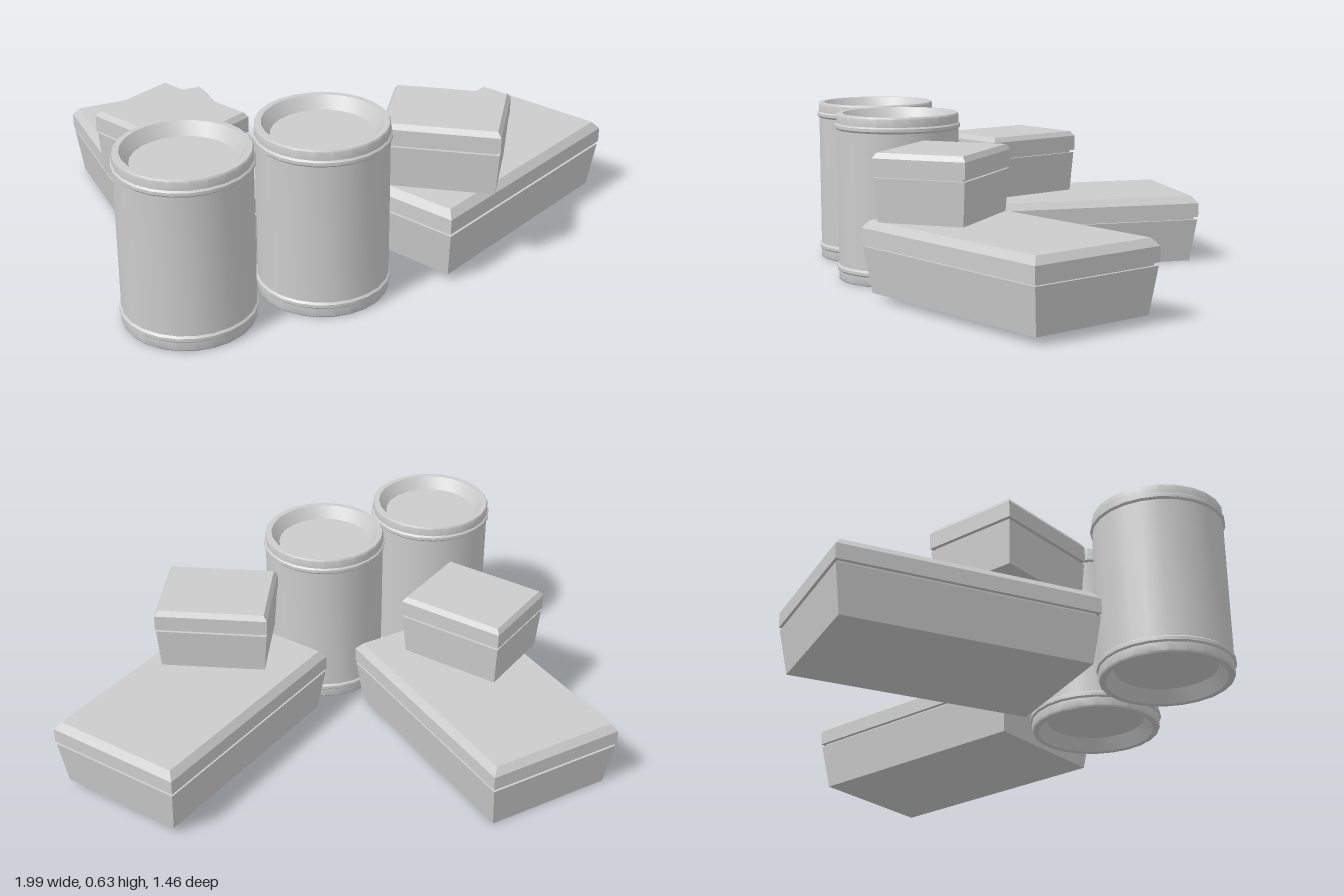
import * as THREE from 'three';
import { toCreasedNormals } from 'three/addons/utils/BufferGeometryUtils.js';

const material = new THREE.MeshStandardMaterial({ color: 0xcccccc });

// Stack of rectangular sections [y, inset], capped at both ends, faceted
function loftBox(width, length, sections) {
  const corners = [[1, 1], [1, -1], [-1, -1], [-1, 1]];
  const rings = sections.map(([y, inset]) =>
    corners.map(([sx, sz]) => [sx * (width / 2 - inset), y, sz * (length / 2 - inset)]));
  const pos = [];
  const quad = (a, b, c, d) => pos.push(...a, ...b, ...c, ...a, ...c, ...d);
  for (let i = 0; i < rings.length - 1; i++) {
    for (let k = 0; k < 4; k++) {
      const n = (k + 1) % 4;
      quad(rings[i][k], rings[i][n], rings[i + 1][n], rings[i + 1][k]);
    }
  }
  const bottom = rings[0], top = rings[rings.length - 1];
  quad(bottom[3], bottom[2], bottom[1], bottom[0]);
  quad(top[0], top[1], top[2], top[3]);
  const geometry = new THREE.BufferGeometry();
  geometry.setAttribute('position', new THREE.Float32BufferAttribute(pos, 3));
  geometry.computeVertexNormals();
  return geometry;
}

function addMesh(parent, name, geometry) {
  const mesh = new THREE.Mesh(geometry, material);
  mesh.name = name;
  parent.add(mesh);
}

// Tapered crate body, narrow seam and bevelled lid
function makeCrate(name, s) {
  const crate = new THREE.Group();
  crate.name = name;
  const { width, length, bodyTop, lidBottom, lidEdge, height, taper, bevel } = s;
  addMesh(crate, 'crateBody', loftBox(width, length, [[0, taper], [bodyTop, 0.003]]));
  addMesh(crate, 'crateSeam', loftBox(width, length, [[bodyTop - 0.01, 0.014], [lidBottom + 0.01, 0.014]]));
  addMesh(crate, 'crateLid', loftBox(width, length, [[lidBottom, 0], [lidEdge, 0], [height, bevel]]));
  return crate;
}

// Barrel with recessed ends and a raised hoop near each end
function makeBarrel(name) {
  const H = 0.635;
  const half = [
    [0, 0.045], [0.178, 0.045], [0.208, 0], [0.228, 0], [0.232, 0.006], [0.232, 0.036],
    [0.238, 0.042], [0.238, 0.053], [0.231, 0.06],
  ];
  const profile = [...half, ...half.map(([r, y]) => [r, H - y]).reverse()]
    .map(([r, y]) => new THREE.Vector2(r, y));
  const barrel = new THREE.Group();
  barrel.name = name;
  addMesh(barrel, 'barrelShell', toCreasedNormals(new THREE.LatheGeometry(profile, 24), 0.6));
  return barrel;
}

export function createModel() {
  const model = new THREE.Group();
  model.name = 'cargoPile';

  const large = { width: 0.55, length: 0.955, bodyTop: 0.17, lidBottom: 0.182, lidEdge: 0.237, height: 0.265, taper: 0.026, bevel: 0.022 };
  const small = { width: 0.348, length: 0.423, bodyTop: 0.156, lidBottom: 0.166, lidEdge: 0.224, height: 0.243, taper: 0.014, bevel: 0.013 };

  // name, dimensions, x, y, z, turn in degrees
  const crates = [
    ['backLargeCrate', large, -0.525, 0, -0.253, 0],
    ['leftLargeCrate', large, 0.445, 0.026, 0.245, 115.2],
    ['backSmallCrate', small, -0.619, 0.268, -0.033, 25.3],
    ['leftSmallCrate', small, 0.247, 0.31, 0.424, 54.6],
  ];
  for (const [name, dims, x, y, z, turn] of crates) {
    const crate = makeCrate(name, dims);
    crate.position.set(x, y, z);
    crate.rotation.y = THREE.MathUtils.degToRad(turn);
    model.add(crate);
  }

  // Pair of upright barrels at the front
  for (const [name, x] of [['rightBarrel', -0.76], ['middleBarrel', -0.263]]) {
    const barrel = makeBarrel(name);
    barrel.position.set(x, 0, 0.49);
    model.add(barrel);
  }
  return model;
}
